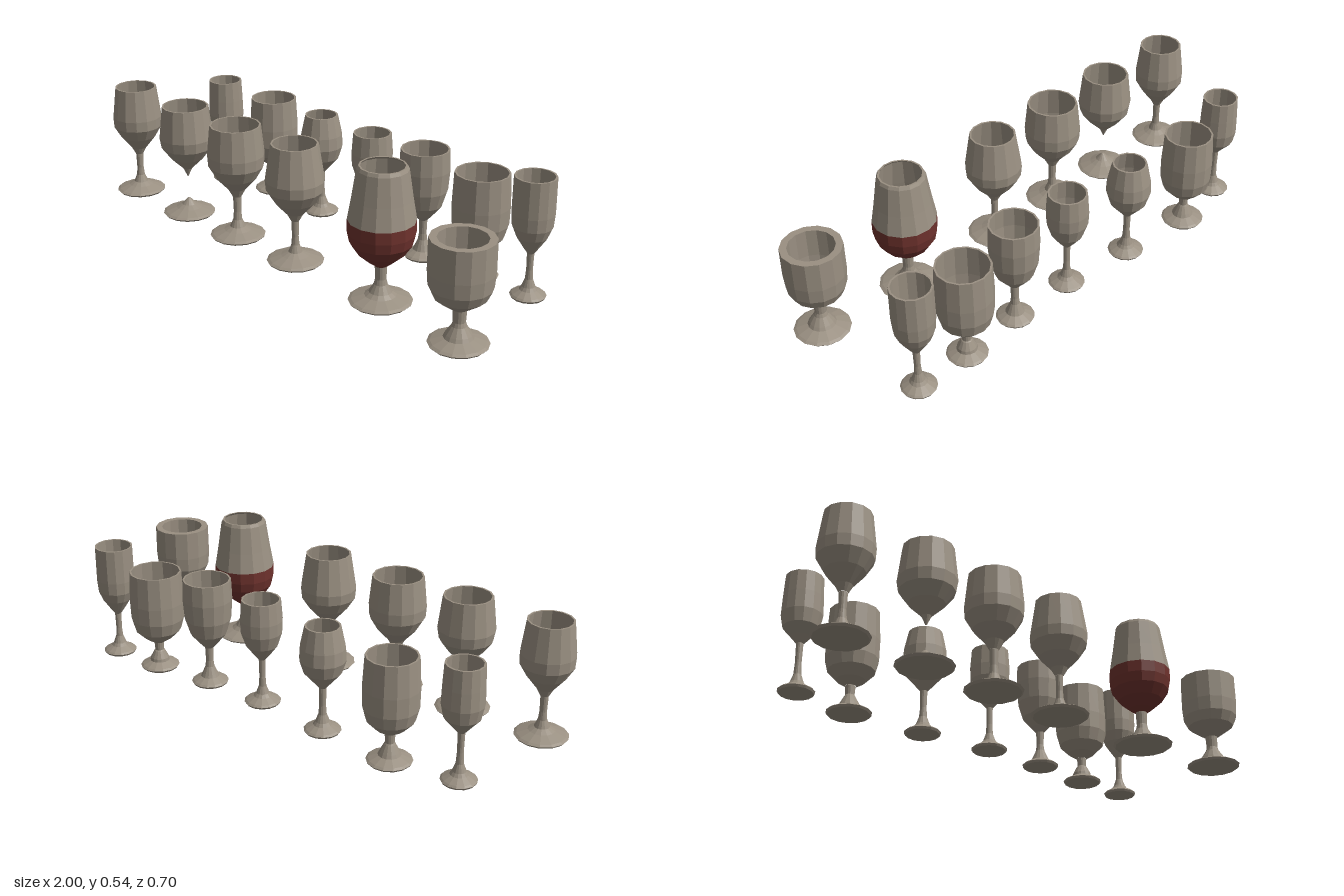
import * as THREE from 'three';

const SIDES = 14;
const glassMat = new THREE.MeshStandardMaterial({ color: 0x9a9082 });
const wineMat = new THREE.MeshStandardMaterial({ color: 0x6e322d });

// Faceted surface of revolution from [radius, height] points
function turned(name, points, material) {
  const lathe = new THREE.LatheGeometry(points.map(([r, y]) => new THREE.Vector2(r, y)), SIDES);
  const geometry = lathe.toNonIndexed();
  geometry.computeVertexNormals();
  const mesh = new THREE.Mesh(geometry, material);
  mesh.name = name;
  return mesh;
}

// Foot and stem in one piece; a broken stem ends in a short nub
function footAndStem(base, foot, stem, top, broken) {
  const points = [
    [0, base], [foot * 0.93, base], [foot, base + 0.008], [foot * 0.9, base + 0.014],
    [foot * 0.5, base + 0.029], [stem * 1.9, base + 0.041],
  ];
  if (broken) points.push([0.006, base + 0.065], [0, base + 0.068]);
  else points.push([stem * 1.1, base + 0.07], [stem * 0.9, (base + top) / 2 + 0.02], [stem, top]);
  return turned('footAndStem', points, glassMat);
}

// Inner wall, running from the rim down to the bottom of the cup
function innerWall(outer, wall) {
  const inside = outer.slice(1).reverse().map(([r, y], i) => [Math.max(r - wall, 0.004), i ? y + 0.004 : y]);
  return [...inside, [0, outer[0][1] + 0.018]];
}

// Bowl outlines, bottom to top: [radius, height]
const profiles = {
  wineA: [[0.016, 0.195], [0.03, 0.222], [0.07, 0.272], [0.098, 0.32], [0.1, 0.362], [0.084, 0.488]],
  wineB: [[0.002, 0.19], [0.018, 0.225], [0.066, 0.272], [0.1, 0.318], [0.107, 0.36], [0.092, 0.488]],
  wineC: [[0.017, 0.195], [0.035, 0.228], [0.078, 0.275], [0.107, 0.325], [0.11, 0.37], [0.098, 0.488]],
  wineD: [[0.015, 0.195], [0.032, 0.225], [0.075, 0.272], [0.106, 0.32], [0.11, 0.36], [0.088, 0.5]],
  balloon: [[0.022, 0.17], [0.045, 0.187], [0.085, 0.222], [0.112, 0.262], [0.12, 0.3], [0.12, 0.345],
    [0.106, 0.425], [0.09, 0.53], [0.084, 0.542]],
  goblet: [[0.024, 0.16], [0.05, 0.178], [0.09, 0.207], [0.108, 0.245], [0.112, 0.3], [0.111, 0.415]],
  slimA: [[0.013, 0.19], [0.035, 0.216], [0.065, 0.25], [0.075, 0.3], [0.073, 0.37], [0.069, 0.45]],
  tumblerA: [[0.02, 0.12], [0.055, 0.143], [0.088, 0.178], [0.1, 0.225], [0.101, 0.3], [0.094, 0.42]],
  tulip: [[0.014, 0.185], [0.035, 0.21], [0.07, 0.25], [0.086, 0.3], [0.083, 0.35], [0.066, 0.43]],
  slimB: [[0.013, 0.195], [0.03, 0.215], [0.06, 0.255], [0.078, 0.31], [0.08, 0.36], [0.074, 0.44]],
  tumblerB: [[0.016, 0.165], [0.036, 0.187], [0.07, 0.228], [0.089, 0.29], [0.095, 0.37], [0.092, 0.45]],
  tumblerC: [[0.02, 0.122], [0.055, 0.145], [0.09, 0.18], [0.104, 0.23], [0.106, 0.3], [0.101, 0.425]],
  flute: [[0.013, 0.185], [0.03, 0.21], [0.056, 0.25], [0.072, 0.29], [0.076, 0.34], [0.075, 0.477]],
};

// Front row stands slightly higher than the back row
const glasses = [
  { bowl: 'wineA', x: -0.9, z: 0.2, base: 0.03, foot: 0.1, stem: 0.015 },
  { bowl: 'wineB', x: -0.565, z: 0.205, base: 0.03, foot: 0.105, stem: 0.015, broken: true },
  { bowl: 'wineC', x: -0.26, z: 0.205, base: 0.03, foot: 0.108, stem: 0.016 },
  { bowl: 'wineD', x: 0.065, z: 0.2, base: 0.03, foot: 0.108, stem: 0.014 },
  { bowl: 'balloon', x: 0.505, z: 0.203, base: 0.03, foot: 0.115, stem: 0.022, wine: 6 },
  { bowl: 'goblet', x: 0.888, z: 0.235, base: 0.03, foot: 0.105, stem: 0.024, wall: 0.026 },
  { bowl: 'slimA', x: -0.806, z: -0.2, base: 0, foot: 0.066, stem: 0.013 },
  { bowl: 'tumblerA', x: -0.552, z: -0.25, base: 0.008, foot: 0.084, stem: 0.019 },
  { bowl: 'tulip', x: -0.237, z: -0.225, base: 0.008, foot: 0.07, stem: 0.014 },
  { bowl: 'slimB', x: 0.07, z: -0.2, base: 0.015, foot: 0.07, stem: 0.013 },
  { bowl: 'tumblerB', x: 0.34, z: -0.2, base: 0.015, foot: 0.072, stem: 0.016 },
  { bowl: 'tumblerC', x: 0.595, z: -0.22, base: 0.015, foot: 0.077, stem: 0.019 },
  { bowl: 'flute', x: 0.822, z: -0.223, base: 0.015, foot: 0.066, stem: 0.013 },
];

function makeGlass(g, i) {
  const outer = profiles[g.bowl];
  const group = new THREE.Group();
  group.name = g.bowl + 'Glass';
  group.add(footAndStem(g.base, g.foot, g.stem, outer[0][1], g.broken));
  const inner = innerWall(outer, g.wall ?? 0.007);
  if (g.wine) {
    // Wine colours the lower part of the bowl
    group.add(turned('wine', outer.slice(0, g.wine), wineMat));
    group.add(turned('bowl', [...outer.slice(g.wine - 1), ...inner], glassMat));
  } else {
    group.add(turned('bowl', [...outer, ...inner], glassMat));
  }
  group.position.set(g.x, 0, g.z);
  group.rotation.y = i * 0.37;
  return group;
}

export function createModel() {
  const model = new THREE.Group();
  model.name = 'glassCollection';
  glasses.forEach((g, i) => model.add(makeGlass(g, i)));
  return model;
}
